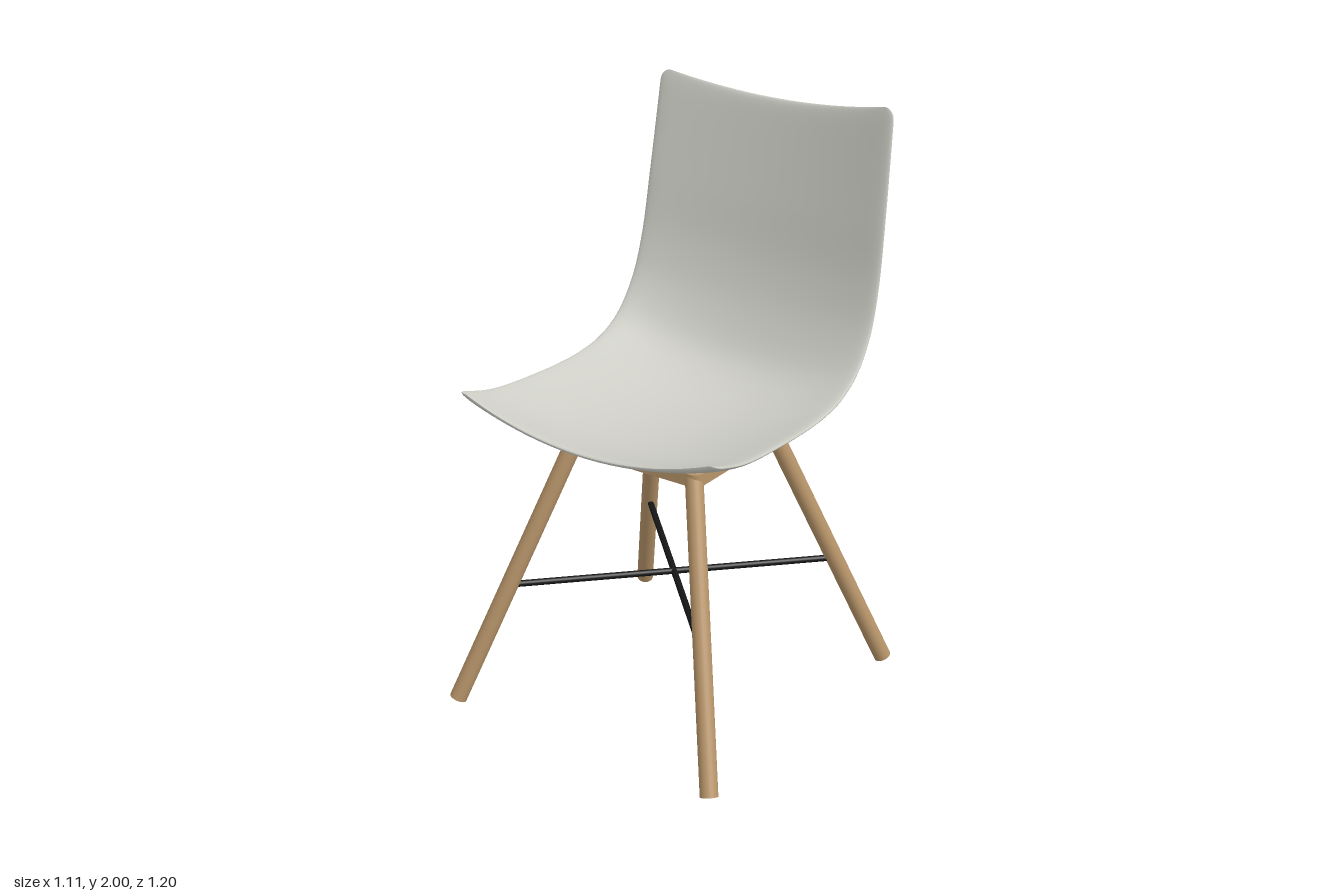
import * as THREE from 'three';

const shellMat = new THREE.MeshStandardMaterial({ color: 0xcfcfc8 });
shellMat.name = 'pale grey shell';
const woodMat = new THREE.MeshStandardMaterial({ color: 0xb8956a });
woodMat.name = 'light wood';
const rodMat = new THREE.MeshStandardMaterial({ color: 0x161616 });
rodMat.name = 'black metal';

const BASE_Z = 0.023; // the leg frame sits slightly forward

function part(name, geometry, material, parent) {
  const mesh = new THREE.Mesh(geometry, material);
  mesh.name = name;
  parent.add(mesh);
  return mesh;
}

// Cylinder running between two points
function bar(name, a, b, radius, material, parent) {
  const dir = b.clone().sub(a);
  const mesh = part(name, new THREE.CylinderGeometry(radius, radius, dir.length(), 24), material, parent);
  mesh.position.copy(a).add(b).multiplyScalar(0.5);
  mesh.quaternion.setFromUnitVectors(new THREE.Vector3(0, 1, 0), dir.normalize());
  return mesh;
}

// Curved one-piece seat and back: a dished sheet from front lip to top edge
function shellGeometry() {
  // [z, y] down the middle, [z, y] along the rim, half width
  const stations = [
    [0.515, 1.045, 0.515, 1.14, 0.515],
    [0.35, 1.005, 0.36, 1.097, 0.509],
    [0.11, 0.982, 0.13, 1.078, 0.504],
    [-0.09, 0.985, -0.08, 1.078, 0.5],
    [-0.25, 1.015, -0.22, 1.102, 0.497],
    [-0.36, 1.08, -0.325, 1.16, 0.494],
    [-0.445, 1.22, -0.41, 1.27, 0.49],
    [-0.5, 1.39, -0.463, 1.42, 0.484],
    [-0.538, 1.62, -0.504, 1.65, 0.476],
    [-0.592, 1.955, -0.557, 2.0, 0.462],
  ];
  const middle = new THREE.CatmullRomCurve3(stations.map(s => new THREE.Vector3(0, s[1], s[0])));
  const rim = new THREE.CatmullRomCurve3(stations.map(s => new THREE.Vector3(s[4], s[3], s[2])));
  const R = 0.035, THICK = 0.02, ROWS = 72, AROUND = 64;

  const surface = (u, t) => {
    const m = middle.getPoint(t), r = rim.getPoint(t);
    const fromEnd = Math.min(t * 1.5, (1 - t) * 3, R);
    const inset = R - Math.sqrt(R * R - (R - fromEnd) ** 2); // rounded corners
    const p = m.clone().lerp(r, u * u);
    p.x = u * (r.x - inset);
    return p;
  };

  const positions = [], index = [];
  for (let i = 0; i <= ROWS; i++) {
    const t = (1 - Math.cos(Math.PI * i / ROWS)) / 2;
    const endFade = Math.sqrt(Math.max(0, 1 - Math.abs(2 * t - 1) ** 80));
    const t0 = Math.max(0.03, Math.min(0.97, t)); // steady normals at the corners
    for (let j = 0; j < AROUND; j++) {
      const a = 2 * Math.PI * j / AROUND, u = Math.cos(a);
      const p = surface(u, t);
      const du = surface(u + 0.002, t0).sub(surface(u - 0.002, t0));
      const dt = surface(u, t0 + 0.002).sub(surface(u, t0 - 0.002));
      const n = du.cross(dt).normalize();
      const h = THICK / 2 * endFade * Math.sqrt(Math.max(0, 1 - Math.abs(u) ** 24));
      p.addScaledVector(n, j < AROUND / 2 ? h : -h);
      positions.push(p.x, p.y, p.z);
      if (i < ROWS) {
        const k = i * AROUND + j, l = i * AROUND + (j + 1) % AROUND;
        index.push(k, k + AROUND, l, l, k + AROUND, l + AROUND);
      }
    }
  }
  const geo = new THREE.BufferGeometry();
  geo.setAttribute('position', new THREE.Float32BufferAttribute(positions, 3));
  geo.setIndex(index);
  geo.computeVertexNormals();
  return geo;
}

// Flat mounting plate with rounded corners
function plateGeometry(w, d, r, thickness) {
  const s = new THREE.Shape();
  s.absarc(w - r, d - r, r, 0, Math.PI / 2);
  s.absarc(-w + r, d - r, r, Math.PI / 2, Math.PI);
  s.absarc(-w + r, -d + r, r, Math.PI, Math.PI * 1.5);
  s.absarc(w - r, -d + r, r, Math.PI * 1.5, Math.PI * 2);
  const geo = new THREE.ExtrudeGeometry(s, { depth: thickness, bevelEnabled: false, curveSegments: 8 });
  return geo.rotateX(-Math.PI / 2);
}

export function createModel() {
  const chair = new THREE.Group();
  chair.name = 'chair';
  part('seatShell', shellGeometry(), shellMat, chair);

  const base = new THREE.Group();
  base.name = 'base';
  base.position.z = BASE_Z;
  chair.add(base);

  part('mountingPlate', plateGeometry(0.275, 0.257, 0.03, 0.043), woodMat, base).position.y = 0.915;

  // Four splayed legs
  const foot = new THREE.Vector3(0.525, 0.0125, 0.547);
  const top = new THREE.Vector3(0.241, 0.94, 0.228);
  const at = (v, sx, sz) => new THREE.Vector3(v.x * sx, v.y, v.z * sz);
  for (const sx of [1, -1]) {
    for (const sz of [1, -1]) {
      const name = (sz > 0 ? 'front' : 'back') + (sx > 0 ? 'Left' : 'Right') + 'Leg';
      bar(name, at(foot, sx, sz), at(top, sx, sz), 0.03, woodMat, base);
    }
  }

  // Crossed rods joining opposite legs
  const joint = foot.clone().lerp(top, (0.43 - foot.y) / (top.y - foot.y));
  for (const s of [1, -1]) {
    bar('crossRod', at(joint, s, 1), at(joint, -s, -1), 0.011, rodMat, base);
  }
  return chair;
}
